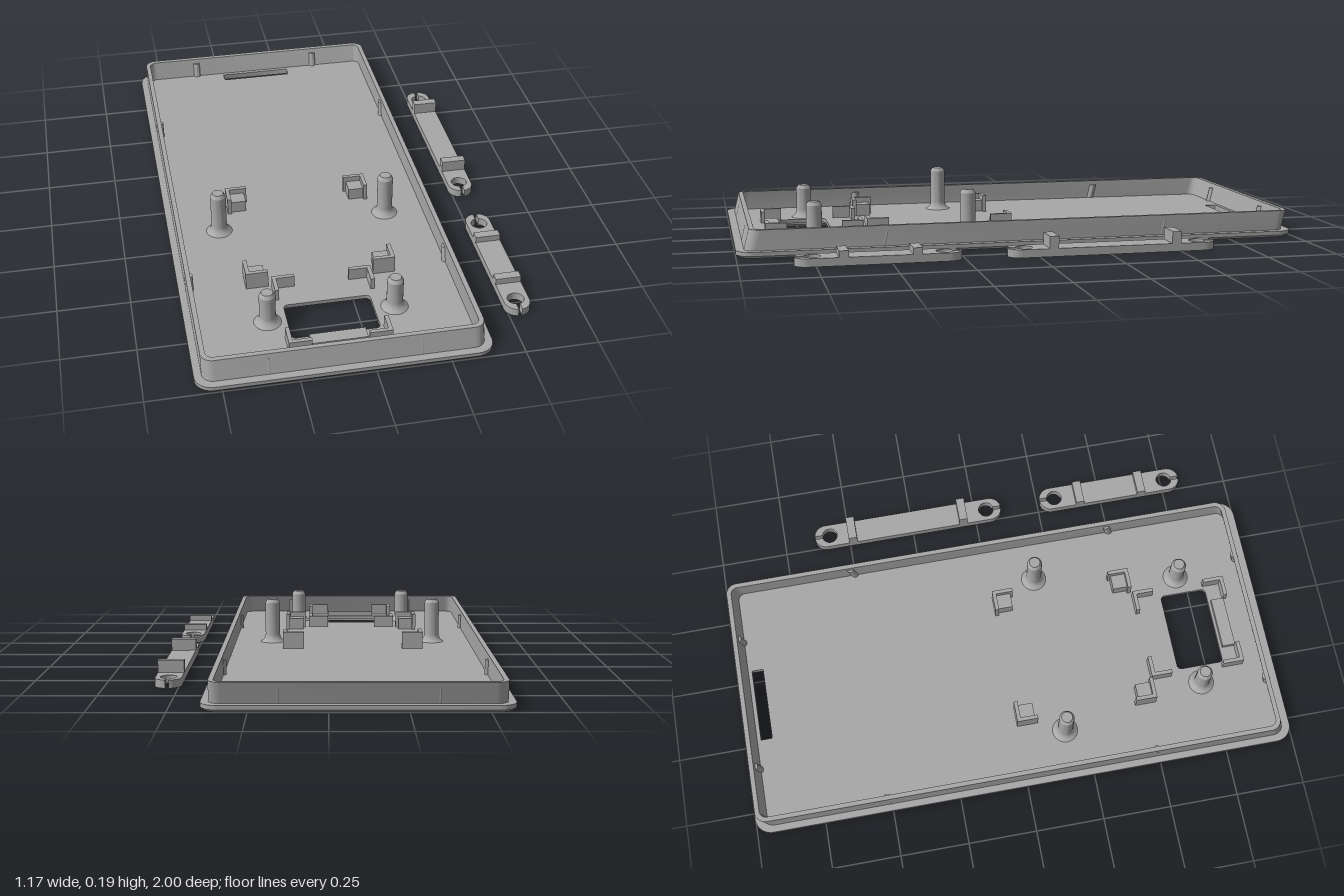
import * as THREE from 'three';
import { toCreasedNormals } from 'three/addons/utils/BufferGeometryUtils.js';

const CX = -0.0925; // centre line of the cover
const FLOOR = 0.022; // top of the base plate
const RIM = 0.093; // top of the wall

// rounded rectangle in plan (x, z)
function roundRect(P, cx, cz, hx, hz, r) {
  const p = new P();
  p.absarc(cx + hx - r, cz + hz - r, r, 0, Math.PI / 2);
  p.absarc(cx - hx + r, cz + hz - r, r, Math.PI / 2, Math.PI);
  p.absarc(cx - hx + r, cz - hz + r, r, Math.PI, Math.PI * 1.5);
  p.absarc(cx + hx - r, cz - hz + r, r, Math.PI * 1.5, Math.PI * 2);
  p.closePath();
  return p;
}

// plan shape raised from y0 to y1
function slab(shape, y0, y1) {
  const g = new THREE.ExtrudeGeometry(shape, { depth: y1 - y0, bevelEnabled: false, curveSegments: 10 });
  return g.rotateX(Math.PI / 2).translate(0, y1, 0);
}

export function createModel() {
  const model = new THREE.Group();
  const grey = new THREE.MeshStandardMaterial({ color: 0xa8a8a8 });
  grey.name = 'plain grey';

  const add = (name, geometry, parent = model) => {
    const m = new THREE.Mesh(toCreasedNormals(geometry, 0.5), grey);
    m.name = name;
    parent.add(m);
    return m;
  };
  const box = (name, x0, x1, y0, y1, z0, z1, parent) =>
    add(name, new THREE.BoxGeometry(x1 - x0, y1 - y0, z1 - z0)
      .translate((x0 + x1) / 2, (y0 + y1) / 2, (z0 + z1) / 2), parent);

  // base plate: upper layer, and a lower layer with the engraved signal arcs
  const plate = (grow) => {
    const s = roundRect(THREE.Shape, CX, 0, 0.4925, 1, 0.06);
    s.holes.push(roundRect(THREE.Path, -0.095, 0.728, 0.15 + grow, 0.087 + grow, 0.015));
    s.holes.push(roundRect(THREE.Path, CX - 0.004, -0.92, 0.137, 0.021, 0.003));
    return s;
  };
  add('basePlate', slab(plate(0), 0.008, FLOOR));

  const lower = plate(0.012);
  const dotX = -0.196, dotZ = 0.263;
  const dot = new THREE.Path();
  dot.absarc(dotX, dotZ, 0.017, 0, Math.PI * 2);
  lower.holes.push(dot);
  for (const r of [0.08, 0.14, 0.2]) {
    const arc = new THREE.Path();
    arc.absarc(dotX, dotZ, r + 0.01, -0.62, 0.62, false);
    arc.absarc(dotX, dotZ, r - 0.01, 0.62, -0.62, true);
    arc.closePath();
    lower.holes.push(arc);
  }
  const lowerGeo = slab(lower, 0, 0.008);
  const lp = lowerGeo.attributes.position;
  for (let i = 0; i < lp.count; i++) { // chamfer the bottom outer edge
    const dx = lp.getX(i) - CX, z = lp.getZ(i);
    if (lp.getY(i) < 0.004 && (Math.abs(dx) > 0.42 || Math.abs(z) > 0.95)) {
      lp.setX(i, CX + dx * 0.985);
      lp.setZ(i, z * 0.993);
    }
  }
  lowerGeo.computeVertexNormals();
  add('engravedUnderside', lowerGeo);

  // perimeter wall, leaning slightly to the back
  const wall = roundRect(THREE.Shape, CX, 0, 0.467, 0.972, 0.04);
  wall.holes.push(roundRect(THREE.Path, CX, 0, 0.45, 0.955, 0.026));
  const lean = (g) => {
    const p = g.attributes.position;
    for (let i = 0; i < p.count; i++) p.setZ(i, p.getZ(i) - 0.25 * (p.getY(i) - FLOOR));
    g.computeVertexNormals();
    return g;
  };
  add('wall', lean(slab(wall, FLOOR, RIM)));

  // small snap ribs on the wall
  const rib = (x, z) =>
    add('snapRib', lean(new THREE.CylinderGeometry(0.014, 0.014, 0.054, 12).translate(x, 0.049, z)));
  for (const s of [-1, 1]) {
    for (const z of [-0.5, 0.5]) rib(CX + s * 0.454, z);
    for (const x of [-0.345, 0.157]) rib(x, s * 0.959);
  }

  // screw posts with flared feet
  const post = (x, z, h) => add('post', new THREE.LatheGeometry([
    [0.047, FLOOR], [0.036, 0.03], [0.029, 0.042], [0.028, 0.05],
    [0.028, h - 0.013], [0.02, h], [0, h],
  ].map(([r, y]) => new THREE.Vector2(r, y)), 24).translate(x, 0, z));
  post(-0.4, 0.175, 0.187);
  post(0.215, 0.175, 0.187);
  post(-0.31, 0.715, 0.147);
  post(0.125, 0.715, 0.147);

  // L-shaped corner brackets; sx and sz point into the corner
  const bracket = (name, x, z, sx, sz, h, shelf) => {
    const g = new THREE.Group();
    g.name = name;
    model.add(g);
    const span = (a, s, from, to) => [a + s * from, a + s * to].sort((m, n) => m - n);
    const L = 0.078, T = 0.014;
    box('bracketArm', ...span(x, sx, 0, T), FLOOR, h, ...span(z, sz, 0, L), g);
    box('bracketArm', ...span(x, sx, T, L), FLOOR, h, ...span(z, sz, 0, T), g);
    if (shelf) box('bracketShelf', ...span(x, sx, T, 0.068), FLOOR, shelf, ...span(z, sz, T, 0.068), g);
  };
  for (const [x, sx] of [[-0.355, 1], [0.17, -1]]) {
    bracket('boardBracket', x, 0.003, sx, 1, 0.085, 0.065);
    bracket('boardBracket', x, 0.53, sx, -1, 0.085, 0.065);
  }
  for (const [x, sx] of [[-0.267, 1], [0.08, -1]]) {
    bracket('windowBracket', x, 0.532, sx, 1, 0.065);
    bracket('windowBracket', x, 0.885, sx, -1, 0.065);
  }
  box('windowLedge', -0.19, 0.0, FLOOR, 0.04, 0.825, 0.873);

  // loose clamp bars with slotted screw eyes and two ridges
  const clampBar = (z0, z1, ridges, top) => {
    const R = 0.045, r = 0.029, slot = 0.006, cx = 0.537;
    const a = Math.asin(slot / r), b = Math.asin(slot / R);
    const s = new THREE.Shape();
    for (const [base, z, d] of [[0, z1 - R, -1], [Math.PI, z0 + R, 1]]) {
      const mid = base + Math.PI / 2;
      s.absarc(cx, z, R, base, mid - b, false);
      s.absarc(cx, z + d * 0.014, r, mid - a, mid + a, true);
      s.absarc(cx, z, R, mid + b, base + Math.PI, false);
    }
    s.closePath();
    const g = new THREE.Group();
    g.name = 'clampBar';
    model.add(g);
    add('barBody', slab(s, 0, 0.028), g);
    for (const z of ridges) box('barRidge', cx - R, cx + R, 0.027, top, z - 0.016, z + 0.016, g);
  };
  clampBar(0.26, 0.82, [0.415, 0.66], 0.05);
  clampBar(-0.632, 0.105, [-0.485, -0.05], 0.07);

  return model;
}
